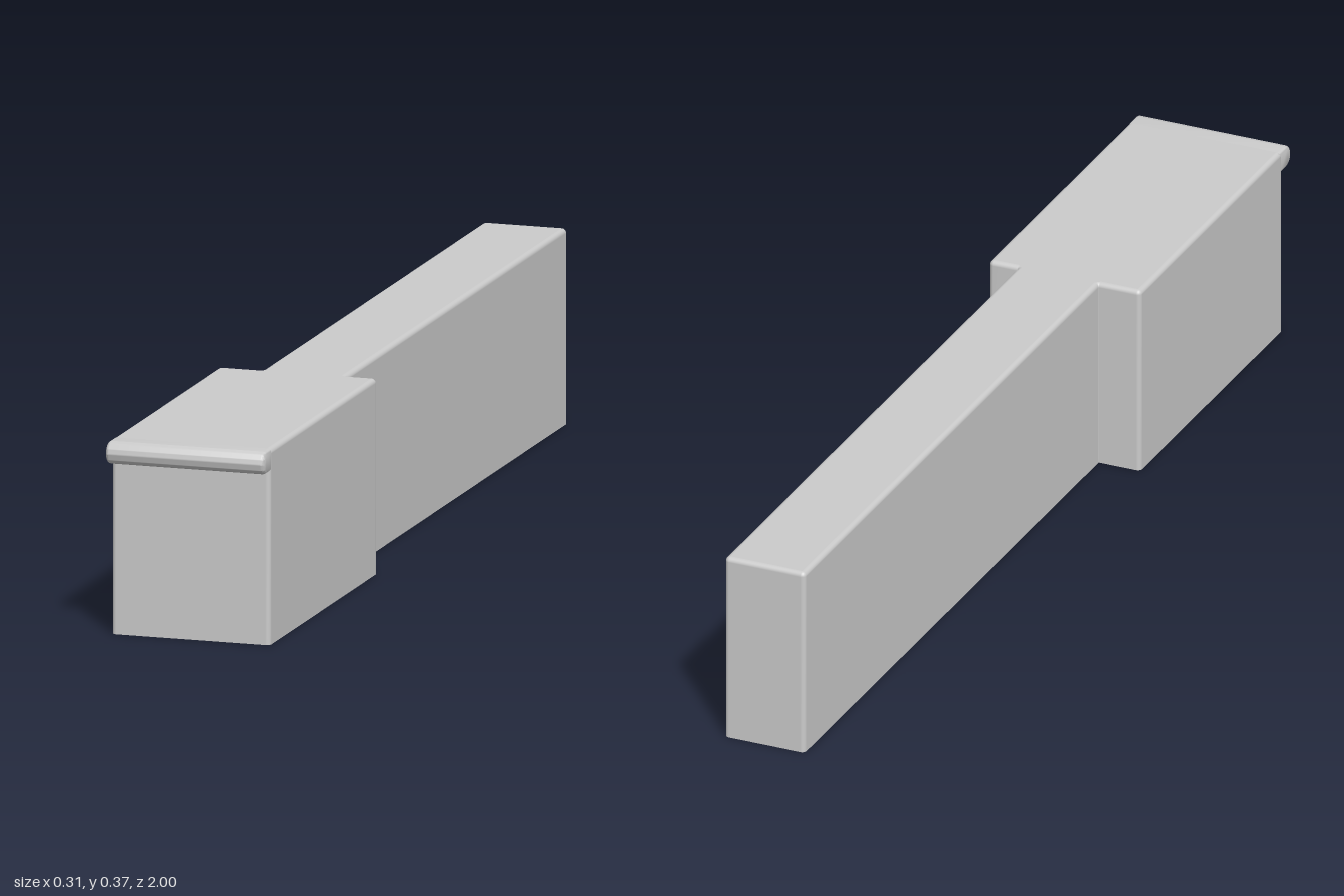
import * as THREE from 'three';
import { toCreasedNormals } from 'three/addons/utils/BufferGeometryUtils.js';

const H = 0.373;      // overall height
const R = 0.009;      // edge rounding
const FRONT = 0.96;   // z of the front wall

// Plan corners as (x, -z), counter-clockwise seen from above
const CORNERS = [
  [-0.155, -FRONT], [0.155, -FRONT], [0.155, -0.32], [0.095, -0.32],
  [0.095, 1], [-0.07, 1], [-0.07, -0.32], [-0.155, -0.32],
].map(([x, y]) => new THREE.Vector2(x, y));

// Plan outline inset by d, with rounded corners
function outline(d, steps = 5) {
  const pts = [];
  const n = CORNERS.length;
  CORNERS.forEach((c, i) => {
    const din = c.clone().sub(CORNERS[(i + n - 1) % n]).normalize();
    const dout = CORNERS[(i + 1) % n].clone().sub(c).normalize();
    const convex = din.cross(dout) > 0;
    const rad = convex ? R - d : 0.001 + d;
    const p = new THREE.Vector2(
      c.x - d * (din.y + dout.y),
      c.y + d * (din.x + dout.x));
    const center = p.addScaledVector(din, -rad).addScaledVector(dout, rad);
    for (let k = 0; k <= steps; k++) {
      const a = (k / steps) * Math.PI / 2;
      pts.push(center.clone()
        .addScaledVector(dout, -rad * Math.cos(a))
        .addScaledVector(din, rad * Math.sin(a)));
    }
  });
  return pts;
}

// Walls rising from the open bottom and rolling over into the top
function wallGeometry() {
  const rows = [[0, 0]];
  for (let k = 0; k <= 6; k++) {
    const t = (k / 6) * Math.PI / 2 * 0.98;
    rows.push([H - R + R * Math.sin(t), R * (1 - Math.cos(t))]);
  }
  rows.push([H, R]);
  const pos = [], idx = [];
  let n = 0;
  rows.forEach(([y, d]) => {
    const loop = outline(d);
    n = loop.length;
    loop.forEach(p => pos.push(p.x, y, -p.y));
  });
  for (let k = 0; k < rows.length - 1; k++) {
    for (let i = 0; i < n; i++) {
      const a = k * n + i, b = k * n + (i + 1) % n;
      idx.push(a, b, b + n, a, b + n, a + n);
    }
  }
  const g = new THREE.BufferGeometry();
  g.setAttribute('position', new THREE.Float32BufferAttribute(pos, 3));
  g.setIndex(idx);
  g.computeVertexNormals();
  return g;
}

// Rounded nose running across the front edge
function lipGeometry() {
  const r = 0.0215, bevel = 0.007, width = 0.31;
  const s = new THREE.Shape();
  s.moveTo(FRONT - 0.012, H - 2 * r);
  s.lineTo(1 - r, H - 2 * r);
  s.absarc(1 - r, H - r, r, -Math.PI / 2, Math.PI / 2, false);
  s.lineTo(FRONT - 0.012, H);
  s.closePath();
  const g = new THREE.ExtrudeGeometry(s, {
    depth: width - 2 * bevel, curveSegments: 20,
    bevelEnabled: true, bevelThickness: bevel, bevelSize: bevel,
    bevelOffset: -bevel, bevelSegments: 4,
  });
  g.translate(0, 0, -(width - 2 * bevel) / 2);
  g.rotateY(-Math.PI / 2);
  return toCreasedNormals(g, 0.7);
}

export function createModel() {
  const group = new THREE.Group();
  group.name = 'steppedCover';
  const material = new THREE.MeshStandardMaterial({ color: 0xcccccc, side: THREE.DoubleSide });
  const add = (name, geometry) => {
    const mesh = new THREE.Mesh(geometry, material);
    mesh.name = name;
    group.add(mesh);
  };

  add('walls', wallGeometry());

  // Flat top, in one piece over the wide and narrow sections
  const top = new THREE.ShapeGeometry(new THREE.Shape(outline(R, 1)));
  top.rotateX(-Math.PI / 2);
  top.translate(0, H, 0);
  add('topPanel', top);

  add('frontLip', lipGeometry());
  return group;
}
